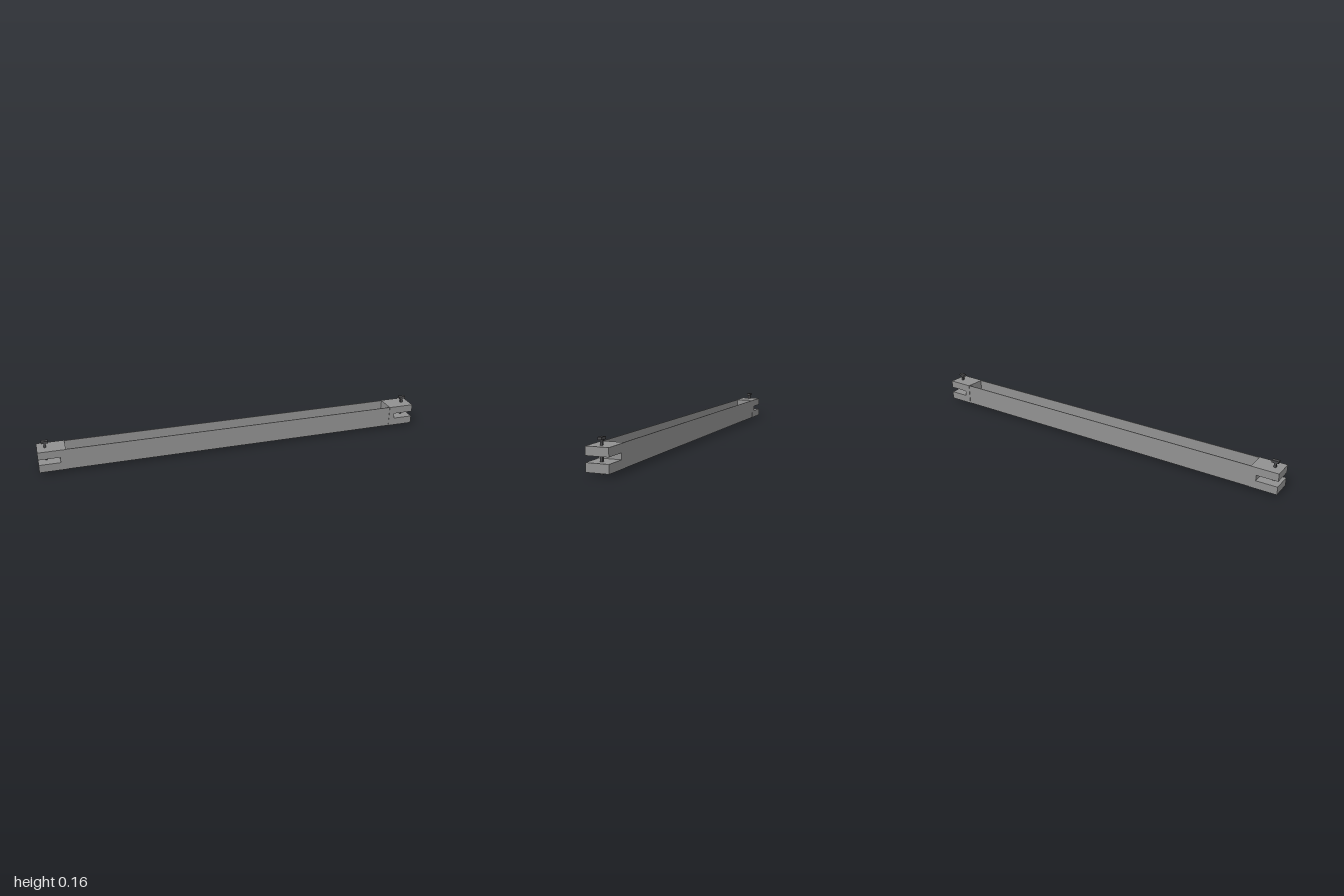
import * as THREE from 'three';

export function createModel() {
  const steel = new THREE.MeshStandardMaterial({ color: 0x919191 });
  steel.name = 'grey steel';
  const dark = new THREE.MeshStandardMaterial({ color: 0x4a4a4c });
  dark.name = 'dark pin';
  const model = new THREE.Group();
  model.name = 'beam';

  const bottom = 0.013, top = 0.12, half = 0.053;
  const inner = 0.865; // where the end blocks meet the channel

  const extrude = (points, depth) => {
    const shape = new THREE.Shape(points.map(([x, y]) => new THREE.Vector2(x, y)));
    const geo = new THREE.ExtrudeGeometry(shape, { depth, bevelEnabled: false });
    return geo.translate(0, 0, -depth / 2);
  };

  // Open U channel, slightly narrower than the end blocks
  const w = 0.051, t = 0.004;
  const channel = new THREE.Mesh(extrude([
    [-w, bottom], [w, bottom], [w, top], [w - t, top],
    [w - t, bottom + t], [-w + t, bottom + t], [-w + t, top], [-w, top],
  ], inner * 2).rotateY(Math.PI / 2), steel);
  channel.name = 'channel';
  model.add(channel);

  // Forked end blocks, each with a drop-in locking pin
  const forkGeo = extrude([
    [inner, bottom], [1, bottom], [1, 0.053], [0.895, 0.053],
    [0.895, 0.081], [1, 0.081], [1, top], [inner, top],
  ], half * 2);
  for (const side of ['left', 'right']) {
    const end = new THREE.Group();
    end.name = side + 'End';
    const fork = new THREE.Mesh(forkGeo, steel);
    fork.name = 'forkBlock';

    const shaft = new THREE.Mesh(new THREE.BoxGeometry(0.011, 0.143, 0.011), dark);
    shaft.name = 'pinShaft';
    shaft.position.set(0.96, 0.0715, 0);
    const head = new THREE.Mesh(new THREE.BoxGeometry(0.034, 0.012, 0.019), dark);
    head.name = 'pinHead';
    head.position.set(0.96, 0.149, 0);

    end.add(fork, shaft, head);
    if (side === 'right') end.rotation.y = Math.PI;
    model.add(end);
  }
  return model;
}
